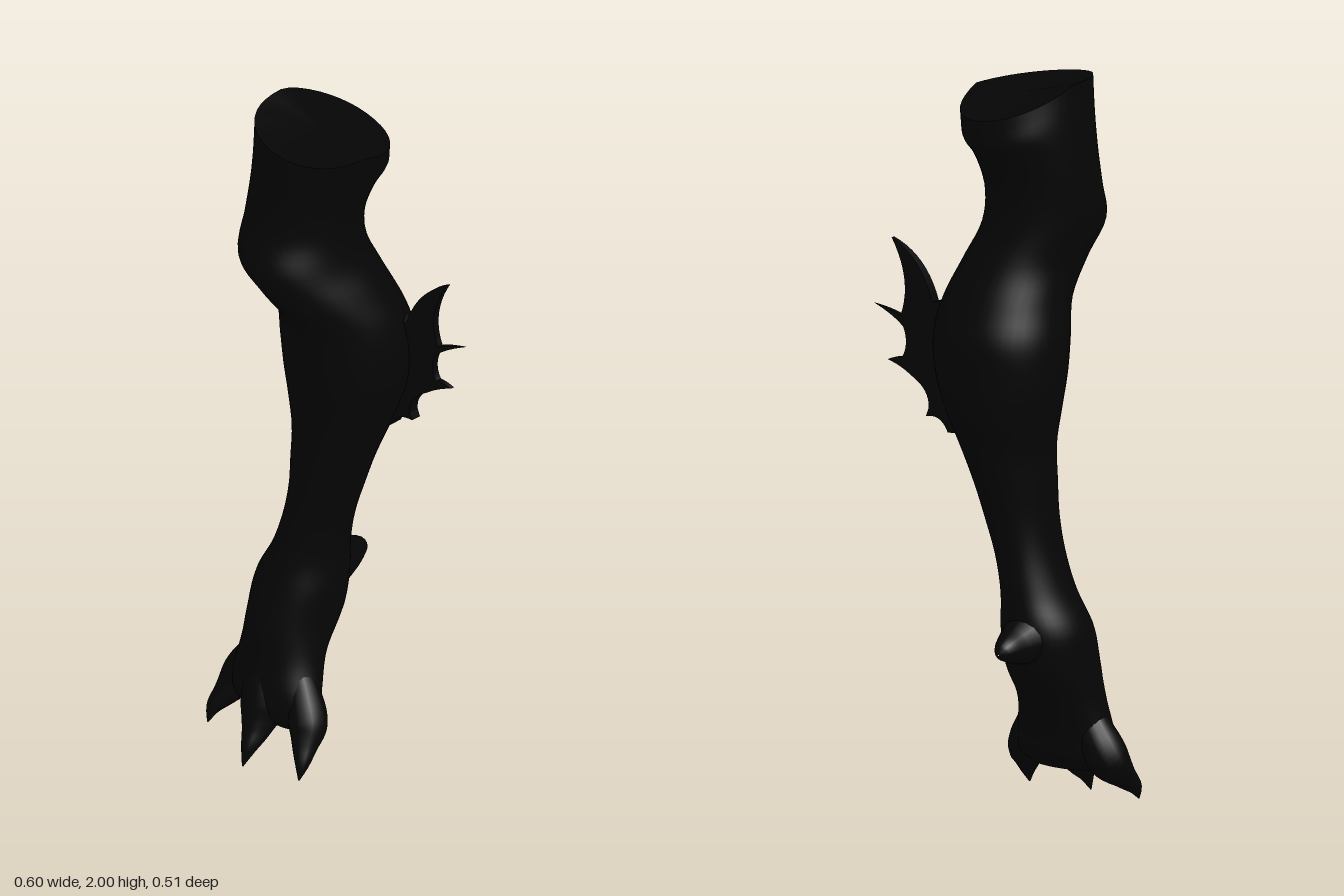
import * as THREE from 'three';

const skin = new THREE.MeshStandardMaterial({ color: 0x050505 });
const SIDES = 40, STEPS = 90;

// Leg sections, top to bottom: y, xMin, xMax, zBack, zFront
const sections = [
  [2.00, -0.235, 0.10, -0.21, 0.155],
  [1.90, -0.24, 0.085, -0.215, 0.155],
  [1.80, -0.245, 0.065, -0.185, 0.155],
  [1.70, -0.245, 0.05, -0.155, 0.17],
  [1.60, -0.235, 0.065, -0.155, 0.207],
  [1.50, -0.205, 0.105, -0.185, 0.165],
  [1.40, -0.20, 0.14, -0.225, 0.105],
  [1.30, -0.21, 0.155, -0.255, 0.09],
  [1.20, -0.205, 0.15, -0.25, 0.08],
  [1.10, -0.185, 0.12, -0.235, 0.07],
  [1.00, -0.16, 0.085, -0.20, 0.065],
  [0.90, -0.155, 0.05, -0.175, 0.065],
  [0.80, -0.155, 0.025, -0.15, 0.065],
  [0.70, -0.165, 0.00, -0.135, 0.075],
  [0.60, -0.19, -0.01, -0.13, 0.095],
  [0.50, -0.23, 0.00, -0.13, 0.13],
  [0.40, -0.23, 0.00, -0.11, 0.16],
  [0.30, -0.235, 0.01, -0.035, 0.17],
  [0.20, -0.25, 0.04, 0.01, 0.185],
  [0.14, -0.25, 0.045, 0.025, 0.18],
  [0.10, -0.19, 0.0, 0.07, 0.15],
];

function mesh(name, geometry, material = skin) {
  const m = new THREE.Mesh(geometry, material);
  m.name = name;
  return m;
}

function indexed(positions, indices) {
  const g = new THREE.BufferGeometry();
  g.setAttribute('position', new THREE.Float32BufferAttribute(positions, 3));
  g.setIndex(indices);
  g.computeVertexNormals();
  return g;
}

// Smooth section at t = 0 (top) to 1 (sole)
const extentX = new THREE.CatmullRomCurve3(sections.map(s => new THREE.Vector3(s[1], s[0], s[2])));
const extentZ = new THREE.CatmullRomCurve3(sections.map(s => new THREE.Vector3(s[3], s[0], s[4])));

function ring(t) {
  const a = extentX.getPoint(t), b = extentZ.getPoint(t), pts = [];
  const cx = (a.x + a.z) / 2, rx = (a.z - a.x) / 2;
  const cz = (b.x + b.z) / 2, rz = (b.z - b.x) / 2;
  const round = v => Math.sign(v) * Math.abs(v) ** 0.94;
  for (let j = 0; j < SIDES; j++) {
    const ang = j / SIDES * Math.PI * 2;
    const dx = rx * round(Math.cos(ang)), dz = rz * round(Math.sin(ang));
    // the cut at the top slopes down to the back and left
    const w = THREE.MathUtils.smoothstep(a.y, 1.75, 2);
    const drop = Math.min(0, -0.02 - 0.15 * dx + 0.4 * Math.min(dz, 0));
    pts.push(cx + dx, a.y + w * drop, cz + dz);
  }
  return pts;
}

function legGeometry() {
  const pos = [], idx = [];
  for (let i = 0; i <= STEPS; i++) pos.push(...ring(i / STEPS));
  for (let i = 0; i < STEPS; i++) for (let j = 0; j < SIDES; j++) {
    const k = (j + 1) % SIDES, a = i * SIDES + j, b = i * SIDES + k;
    idx.push(a, b, a + SIDES, b, b + SIDES, a + SIDES);
  }
  return indexed(pos, idx);
}

// Flat fan closing one end of the leg
function capGeometry(t, up) {
  const pos = ring(t), idx = [], c = [0, 0, 0];
  pos.forEach((v, i) => { c[i % 3] += v / SIDES; });
  pos.push(...c);
  for (let j = 0; j < SIDES; j++) {
    const k = (j + 1) % SIDES;
    idx.push(SIDES, up ? k : j, up ? j : k);
  }
  return indexed(pos, idx);
}

// Tube whose radius follows the points: [x, y, z, radius]
function taperedTube(points, steps = 28, sides = 16) {
  const curve = new THREE.CatmullRomCurve3(points.map(p => new THREE.Vector3(p[0], p[1], p[2])));
  const radii = new THREE.CatmullRomCurve3(points.map((p, i) => new THREE.Vector3(i, p[3], 0)));
  const g = new THREE.TubeGeometry(curve, steps, 1, sides);
  const p = g.attributes.position, v = new THREE.Vector3();
  for (let i = 0; i <= steps; i++) {
    const u = i / steps, c = curve.getPointAt(u);
    const r = Math.max(0.001, radii.getPoint(curve.getUtoTmapping(u)).y);
    for (let j = 0; j <= sides; j++) {
      const n = i * (sides + 1) + j;
      v.fromBufferAttribute(p, n).sub(c).multiplyScalar(r).add(c);
      p.setXYZ(n, v.x, v.y, v.z);
    }
  }
  g.computeVertexNormals();
  return g;
}

// Webbed fin with four hooked spikes, thinning outwards
function finGeometry() {
  const s = new THREE.Shape();
  s.moveTo(0.06, 1.40);
  s.lineTo(0.135, 1.38);
  s.quadraticCurveTo(0.165, 1.50, 0.25, 1.545);
  s.quadraticCurveTo(0.19, 1.43, 0.225, 1.335);
  s.quadraticCurveTo(0.25, 1.35, 0.30, 1.362);
  s.quadraticCurveTo(0.245, 1.335, 0.217, 1.305);
  s.quadraticCurveTo(0.20, 1.26, 0.22, 1.222);
  s.quadraticCurveTo(0.24, 1.222, 0.262, 1.212);
  s.quadraticCurveTo(0.225, 1.20, 0.195, 1.175);
  s.quadraticCurveTo(0.14, 1.14, 0.145, 1.09);
  s.lineTo(0.152, 1.068);
  s.quadraticCurveTo(0.11, 1.08, 0.09, 1.03);
  s.lineTo(0.04, 1.03);
  const g = new THREE.ExtrudeGeometry(s, { depth: 1, bevelEnabled: false, curveSegments: 10 });
  const p = g.attributes.position;
  for (let i = 0; i < p.count; i++) {
    const x = p.getX(i);
    const thick = THREE.MathUtils.mapLinear(x, 0.1, 0.3, 0.036, 0.003);
    p.setZ(i, -0.165 - 0.3 * (x - 0.15) + (p.getZ(i) - 0.5) * thick);
  }
  g.computeVertexNormals();
  return g;
}

// Each toe runs from the instep over the knuckle into a claw
const toes = {
  rightToe: [[-0.17, 0.30, 0.08, 0.03], [-0.215, 0.20, 0.085, 0.055], [-0.248, 0.135, 0.10, 0.056],
    [-0.262, 0.09, 0.14, 0.036], [-0.272, 0.055, 0.175, 0.021], [-0.268, 0.018, 0.2, 0.002]],
  middleToe: [[-0.11, 0.31, 0.10, 0.04], [-0.105, 0.21, 0.135, 0.058], [-0.098, 0.14, 0.155, 0.06],
    [-0.085, 0.09, 0.19, 0.04], [-0.075, 0.055, 0.222, 0.023], [-0.07, 0.005, 0.25, 0.002]],
  leftToe: [[-0.04, 0.30, 0.09, 0.03], [0.005, 0.20, 0.10, 0.05], [0.038, 0.135, 0.115, 0.053],
    [0.06, 0.09, 0.145, 0.035], [0.078, 0.055, 0.17, 0.02], [0.088, 0.016, 0.19, 0.002]],
};

export function createModel() {
  const model = new THREE.Group();
  model.name = 'clawedLeg';
  model.add(mesh('leg', legGeometry()));
  model.add(mesh('topCut', capGeometry(0, true)));
  model.add(mesh('sole', capGeometry(1, false)));

  // heel spur
  model.add(mesh('heelSpur', taperedTube([
    [-0.115, 0.49, 0.0, 0.08], [-0.115, 0.485, -0.08, 0.075], [-0.122, 0.478, -0.15, 0.052],
    [-0.13, 0.475, -0.20, 0.034], [-0.132, 0.47, -0.225, 0.02], [-0.132, 0.468, -0.235, 0.002],
  ])));

  for (const [name, points] of Object.entries(toes)) model.add(mesh(name, taperedTube(points)));

  const finMaterial = skin.clone();
  finMaterial.side = THREE.DoubleSide;
  model.add(mesh('calfFin', finGeometry(), finMaterial));
  return model;
}
